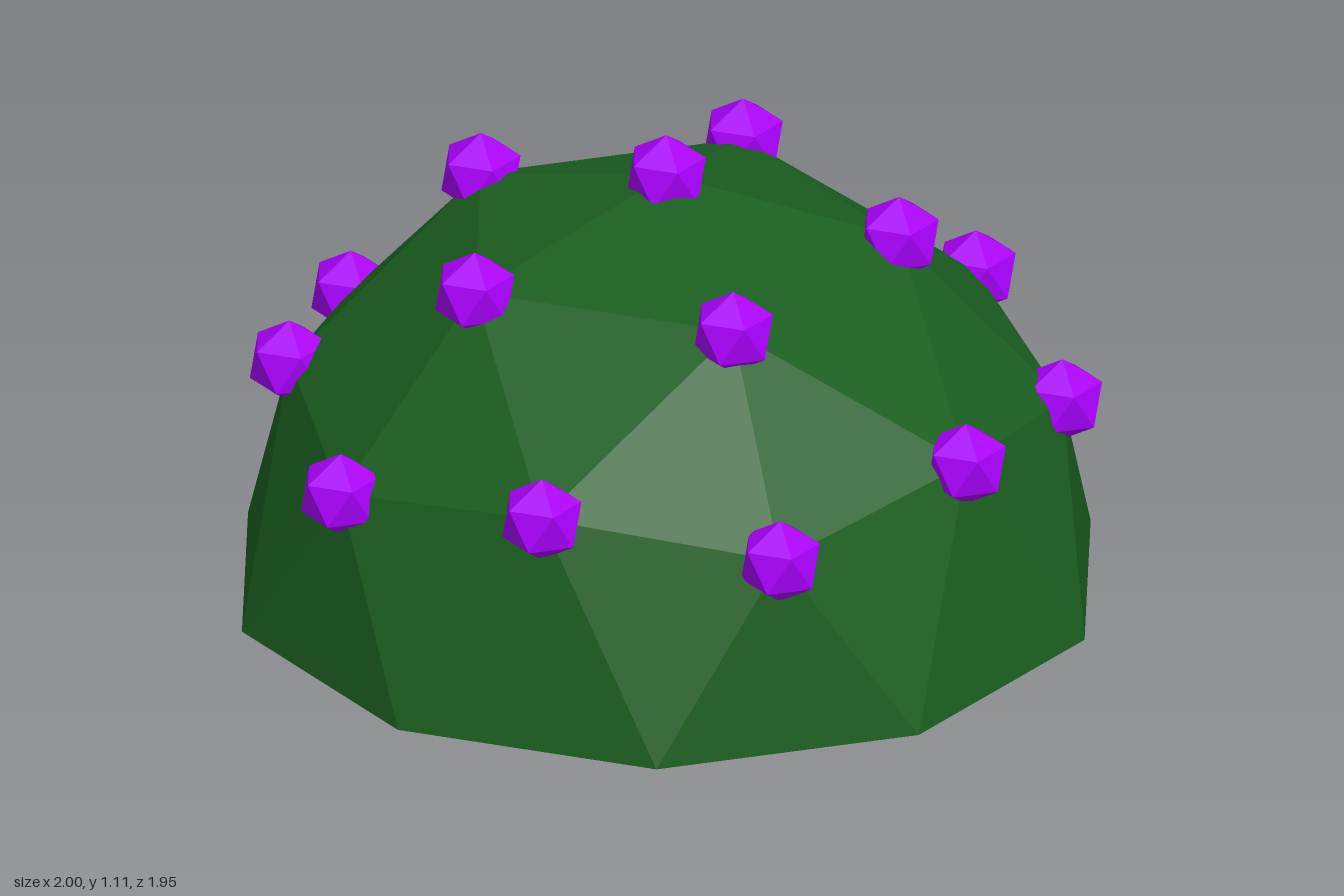
import * as THREE from 'three';

const LIFT = 0.006;

// Icosahedron standing on a vertex, turned about the vertical axis
function uprightIcosahedron(radius, detail) {
  const geometry = new THREE.IcosahedronGeometry(radius, detail);
  geometry.rotateZ(Math.atan2(2, 1 + Math.sqrt(5)));
  geometry.rotateY(THREE.MathUtils.degToRad(20.7));
  return geometry;
}

export function createModel() {
  const model = new THREE.Group();
  model.name = 'studdedDome';
  const domeMaterial = new THREE.MeshStandardMaterial({ color: 0x1b5e20, flatShading: true });
  const studMaterial = new THREE.MeshStandardMaterial({ color: 0xaa00ff, flatShading: true });

  // Dome: the lower half is pressed flat to form the base
  const domeGeometry = uprightIcosahedron(1.001, 1);
  const position = domeGeometry.attributes.position;
  const studPoints = new Map();
  for (let i = 0; i < position.count; i++) {
    const p = new THREE.Vector3().fromBufferAttribute(position, i);
    if (p.y < 0.01) {
      p.y = 0;
    } else {
      p.y += LIFT;
      const key = p.toArray().map((v) => Math.round(v * 100)).join();
      studPoints.set(key, p);
    }
    position.setXYZ(i, p.x, p.y, p.z);
  }
  domeGeometry.computeVertexNormals();
  const dome = new THREE.Mesh(domeGeometry, domeMaterial);
  dome.name = 'dome';
  model.add(dome);

  // Studs: one small faceted ball on every corner above the base
  const studGeometry = uprightIcosahedron(0.1, 0);
  const studs = new THREE.Group();
  studs.name = 'studs';
  for (const point of studPoints.values()) {
    const stud = new THREE.Mesh(studGeometry, studMaterial);
    stud.name = 'stud';
    stud.position.copy(point);
    studs.add(stud);
  }
  model.add(studs);

  model.position.z = -0.01;
  return model;
}
